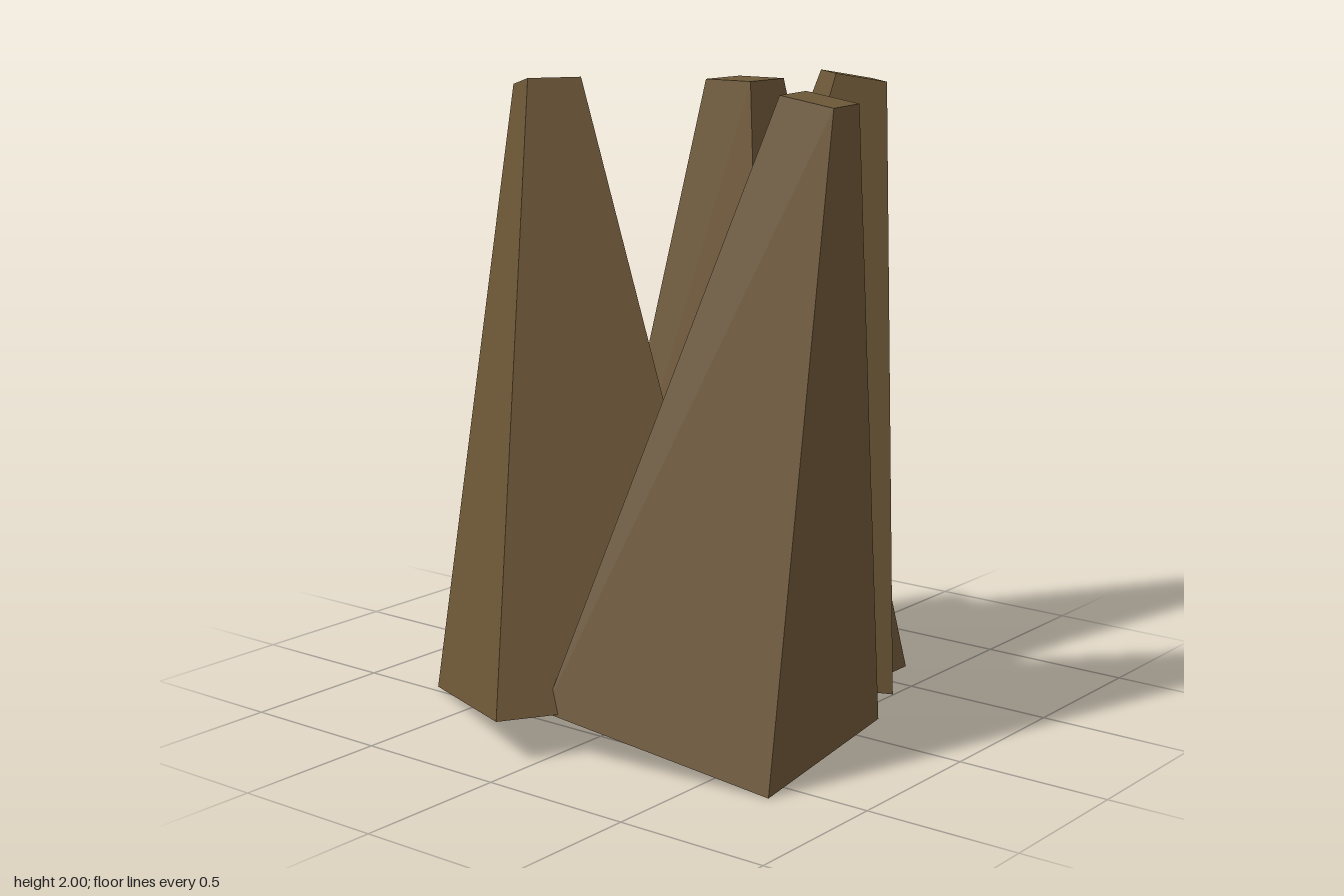
import * as THREE from 'three';

const HEIGHT = 1.95, TOP_HALF = 0.087, BASE_HALF = 0.388;
const LEAN = THREE.MathUtils.degToRad(10);

// Square tapering spike standing on its own origin, with flat facets
function spikeGeometry() {
  const geo = new THREE.CylinderGeometry(
    TOP_HALF * Math.SQRT2, BASE_HALF * Math.SQRT2, HEIGHT, 4, 1
  ).rotateY(Math.PI / 4).translate(0, HEIGHT / 2, 0).toNonIndexed();
  geo.computeVertexNormals();
  return geo;
}

export function createModel() {
  const group = new THREE.Group();
  group.name = 'spikeCluster';

  const brown = new THREE.MeshStandardMaterial({ color: 0x6e5838 });
  brown.name = 'earthBrown';
  const geo = spikeGeometry();

  // name, base centre, horizontal direction of lean (x, z), lean angle
  const spikes = [
    ['centreSpike', [0.148, 0.05, 0.065], [0, 1], 0],
    ['frontSpike', [-0.28, 0.067, 0.28], [0.168, 0.986], LEAN],
    ['leftSpike', [0.338, 0.067, -0.045], [0.78, 0.626], LEAN],
    ['backSpike', [-0.347, 0.067, -0.2], [0.538, -0.843], LEAN],
  ];

  for (const [name, base, [dx, dz], lean] of spikes) {
    const spike = new THREE.Mesh(geo, brown);
    spike.name = name;
    spike.position.set(...base);
    spike.rotation.set(lean, Math.atan2(dx, dz), 0, 'YXZ');
    group.add(spike);
  }
  return group;
}
